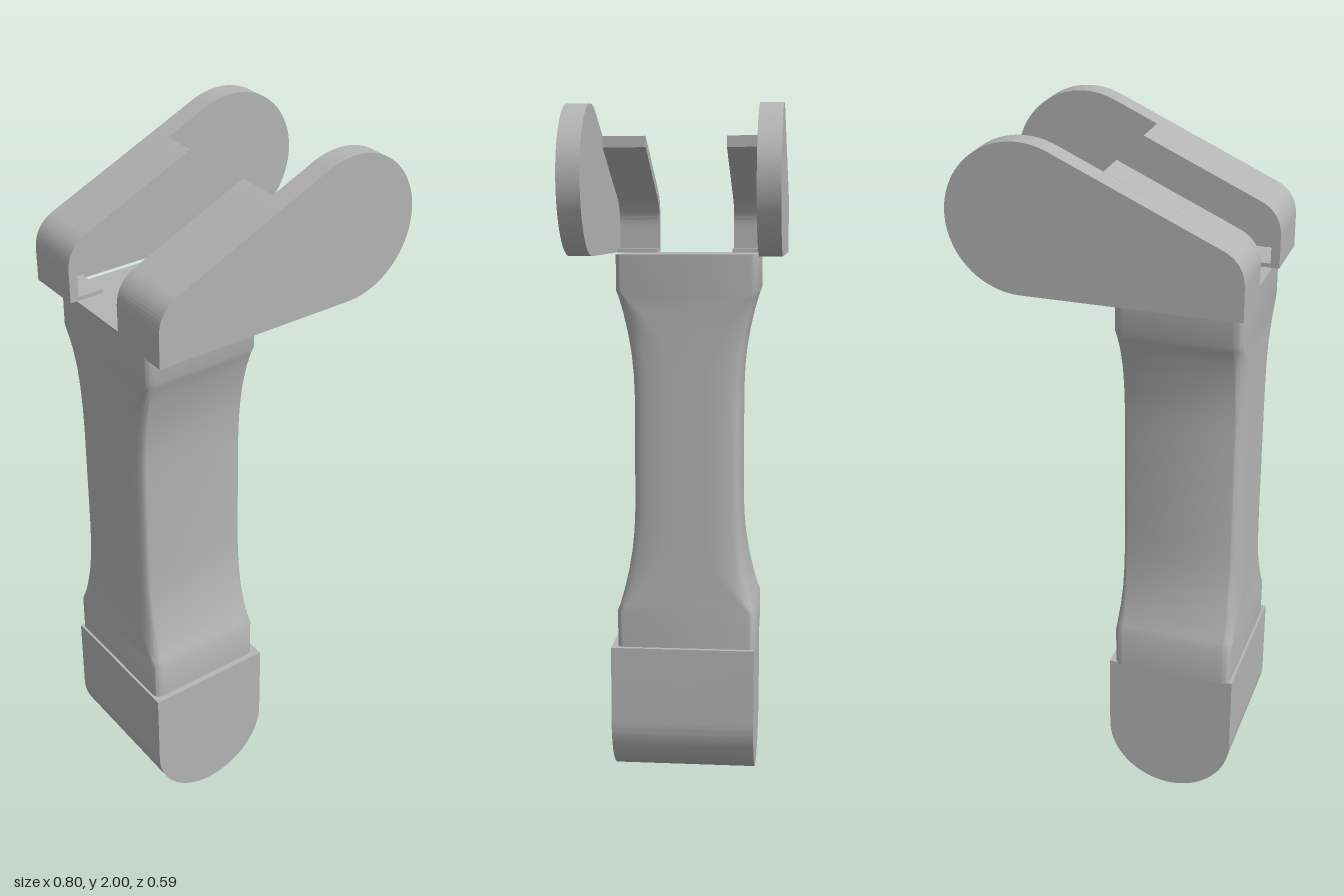
import * as THREE from 'three';
import { toCreasedNormals } from 'three/addons/utils/BufferGeometryUtils.js';

const TOP = 1.59, CUT = -0.01;

// Upper slanted edge of the arm, lowered by d
const slantY = (x, d = 0) => 1.982 - (0.115 - x) * 0.4535 - d;

// Extrude a side profile between two depths
function slab(shape, z0, z1) {
  const g = new THREE.ExtrudeGeometry(shape, { depth: z1 - z0, bevelEnabled: false, curveSegments: 32 });
  g.translate(0, 0, z0);
  return toCreasedNormals(g, 0.5);
}

// Full teardrop cheek
function armShape() {
  const s = new THREE.Shape();
  s.moveTo(-0.4, TOP);
  s.lineTo(0.2, TOP);
  s.absarc(0.2, 1.795, 0.205, -Math.PI / 2, THREE.MathUtils.degToRad(114.4), false);
  s.lineTo(-0.34, slantY(-0.34));
  s.quadraticCurveTo(-0.4, slantY(-0.4), -0.4, 1.68);
  s.closePath();
  return s;
}

// Thin hooked rim: roof, rounded end wall and a short floor lip
function rimShape() {
  const t = 0.025, d = 0.032, s = new THREE.Shape();
  s.moveTo(-0.4, TOP);
  s.lineTo(-0.3, TOP);
  s.lineTo(-0.3, TOP + 0.012);
  s.lineTo(-0.4 + t, TOP + 0.012);
  s.lineTo(-0.4 + t, 1.67);
  s.quadraticCurveTo(-0.4 + t, slantY(-0.4 + t, d), -0.32, slantY(-0.32, d));
  s.lineTo(CUT, slantY(CUT, d));
  s.lineTo(CUT, slantY(CUT));
  s.lineTo(-0.34, slantY(-0.34));
  s.quadraticCurveTo(-0.4, slantY(-0.4), -0.4, 1.68);
  s.closePath();
  return s;
}

// Block with a semicircular underside
function baseShape() {
  const s = new THREE.Shape(), r = 0.1875;
  s.moveTo(-0.2 - r, 0.415);
  s.lineTo(-0.2 - r, r);
  s.absarc(-0.2, r, r, Math.PI, Math.PI * 2, false);
  s.lineTo(-0.2 + r, 0.415);
  s.closePath();
  return s;
}

// Waisted grip lofted from rectangles with elliptical corners
function gripGeometry() {
  // height, half depth, corner depth
  const upper = [
    [TOP, 0.208, 0.02], [1.485, 0.208, 0.02], [1.465, 0.2, 0.03], [1.42, 0.187, 0.06],
    [1.36, 0.173, 0.095], [1.3, 0.163, 0.1], [1.24, 0.157, 0.097], [1.17, 0.154, 0.094],
  ];
  const lower = upper.map(([y, h, c]) => [2.01 - y, h, c]);
  lower[0][0] = 0.41;
  const rows = [...lower, ...upper.slice().reverse()];
  const halfX = 0.176, rx = 0.025, cx = -0.204, cz = -0.008, steps = 7;
  const pos = [], idx = [], n = 4 * (steps + 1);
  for (const [y, h, c] of rows) {
    for (let q = 0; q < 4; q++) {
      const sx = q === 0 || q === 3 ? 1 : -1, sz = q < 2 ? 1 : -1;
      for (let k = 0; k <= steps; k++) {
        const a = (q + k / steps) * Math.PI / 2;
        pos.push(cx + sx * (halfX - rx) + rx * Math.cos(a), y, cz + sz * (h - c) + c * Math.sin(a));
      }
    }
  }
  for (let r = 0; r < rows.length - 1; r++) {
    for (let i = 0; i < n; i++) {
      const a = r * n + i, b = r * n + (i + 1) % n;
      idx.push(a, a + n, b, a + n, b + n, b);
    }
  }
  // End caps
  const last = (rows.length - 1) * n;
  for (let i = 1; i < n - 1; i++) {
    idx.push(0, i, i + 1);
    idx.push(last, last + i + 1, last + i);
  }
  const g = new THREE.BufferGeometry();
  g.setAttribute('position', new THREE.Float32BufferAttribute(pos, 3));
  g.setIndex(idx);
  return toCreasedNormals(g, 0.65);
}

export function createModel() {
  const model = new THREE.Group();
  model.name = 'fingerLink';
  const grey = new THREE.MeshStandardMaterial({ color: 0xb4b4b4 });
  grey.name = 'grey';
  const add = (name, geometry) => {
    const m = new THREE.Mesh(geometry, grey);
    m.name = name;
    model.add(m);
  };

  add('roundedBase', slab(baseShape(), -0.213, 0.217));
  add('grip', gripGeometry());

  // Two cheeks, each with an inward rim
  add('frontArm', slab(armShape(), 0.23, 0.294));
  add('frontRim', slab(rimShape(), 0.106, 0.23));
  add('backArm', slab(armShape(), -0.294, -0.23));
  add('backRim', slab(rimShape(), -0.23, -0.126));
  return model;
}
